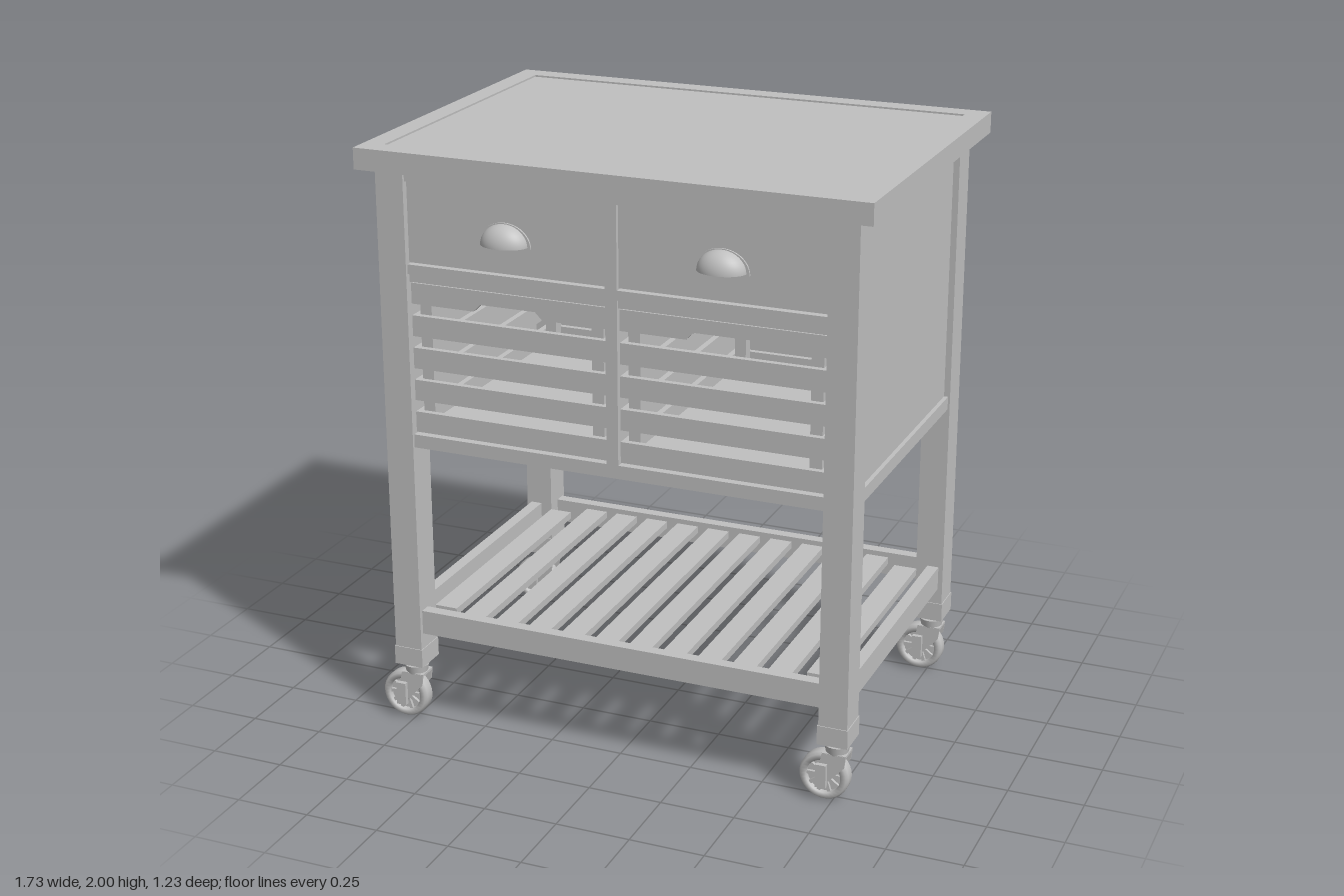
import * as THREE from 'three';

const grey = new THREE.MeshStandardMaterial({ color: 0xc0c0c0, side: THREE.DoubleSide });
grey.name = 'plain grey';

function add(parent, name, geometry, x = 0, y = 0, z = 0) {
  const mesh = new THREE.Mesh(geometry, grey);
  mesh.name = name;
  mesh.position.set(x, y, z);
  parent.add(mesh);
  return mesh;
}

// Box given by its limits on each axis
function slab(parent, name, x0, x1, y0, y1, z0, z1) {
  return add(parent, name, new THREE.BoxGeometry(x1 - x0, y1 - y0, z1 - z0),
    (x0 + x1) / 2, (y0 + y1) / 2, (z0 + z1) / 2);
}

function polygon(points) {
  return new THREE.Shape(points.map(([x, y]) => new THREE.Vector2(x, y)));
}

function extrude(shape, depth) {
  return new THREE.ExtrudeGeometry(shape, { depth, bevelEnabled: false, curveSegments: 12 });
}

// Worktop: a frame around a slightly sunk panel
function worktop(root) {
  const frame = polygon([[-0.84, -0.615], [0.86, -0.615], [0.86, 0.615], [-0.84, 0.615]]);
  frame.holes.push(polygon([[-0.77, -0.54], [-0.77, 0.545], [0.79, 0.545], [0.79, -0.54]]));
  add(root, 'worktopFrame', extrude(frame, 0.07), 0, 1.93, 0).rotation.x = -Math.PI / 2;
  slab(root, 'worktopPanel', -0.77, 0.79, 1.93, 1.994, -0.545, 0.54);
}

// Swivel caster: the wheel trails towards -x
function caster(root, x, z) {
  const g = new THREE.Group();
  g.name = 'caster';
  g.position.set(x, 0, z);
  root.add(g);
  add(g, 'stem', new THREE.CylinderGeometry(0.02, 0.02, 0.04, 16), 0, 0.2, 0);
  add(g, 'swivelCup', new THREE.CylinderGeometry(0.042, 0.036, 0.03, 20), 0, 0.182, 0);
  const fork = polygon([[-0.04, 0.17], [0.04, 0.17], [0.035, 0.13], [-0.02, 0.07], [-0.05, 0.07], [-0.055, 0.09]]);
  for (const s of [-1, 1]) add(g, 'forkPlate', extrude(fork, 0.005), 0, 0, s * 0.033 - 0.0025);
  slab(g, 'forkBridge', -0.04, 0.04, 0.164, 0.172, -0.035, 0.035);

  const wheel = new THREE.Group();
  wheel.name = 'wheel';
  wheel.position.set(-0.037, 0.083, 0);
  wheel.rotation.x = Math.PI / 2;
  g.add(wheel);
  const tyre = [[0.058, -0.026], [0.076, -0.026], [0.083, -0.016], [0.083, 0.016],
    [0.076, 0.026], [0.058, 0.026], [0.058, -0.026]].map(([r, h]) => new THREE.Vector2(r, h));
  add(wheel, 'tyre', new THREE.LatheGeometry(tyre, 32));
  add(wheel, 'wheelWeb', new THREE.CylinderGeometry(0.06, 0.06, 0.014, 24));
  add(wheel, 'hub', new THREE.CylinderGeometry(0.022, 0.022, 0.056, 16));
  for (let i = 0; i < 5; i++) {
    add(wheel, 'spoke', new THREE.BoxGeometry(0.12, 0.034, 0.012)).rotation.y = i * Math.PI / 5;
  }
  add(wheel, 'axle', new THREE.CylinderGeometry(0.01, 0.01, 0.08, 10));
  slab(g, 'brakeLever', -0.055, -0.02, 0.055, 0.135, 0.036, 0.052);
}

// Drawer with a cup pull
function drawer(root, x0, x1) {
  slab(root, 'drawerFront', x0, x1, 1.625, 1.89, 0.51, 0.54);
  const cx = (x0 + x1) / 2;
  const dome = new THREE.SphereGeometry(1, 24, 10, 0, Math.PI, 0, Math.PI / 2);
  dome.scale(0.08, 0.068, 0.06);
  add(root, 'cupPull', dome, cx, 1.72, 0.542);
  const flange = new THREE.Shape();
  flange.moveTo(-0.09, 0);
  flange.absellipse(0, 0, 0.09, 0.076, Math.PI, 0, true);
  add(root, 'pullFlange', extrude(flange, 0.006), cx, 1.715, 0.54);
}

// Slatted crate below each drawer
function crate(root, x0, x1) {
  const g = new THREE.Group();
  g.name = 'crate';
  root.add(g);
  const front = 0.535, back = -0.46, t = 0.02, cx = (x0 + x1) / 2;
  for (let i = 0; i < 5; i++) {
    const y0 = 1.05 + i * 0.109, y1 = y0 + 0.07;
    if (i < 4) {
      slab(g, 'frontSlat', x0, x1, y0, y1, front - t, front);
    } else {
      const grip = polygon([[x0, y0], [cx - 0.12, y0], [cx - 0.095, y0 + 0.025], [cx + 0.095, y0 + 0.025],
        [cx + 0.12, y0], [x1, y0], [x1, y1], [x0, y1]]);
      add(g, 'gripSlat', extrude(grip, t), 0, 0, front - t);
    }
    slab(g, 'backSlat', x0, x1, y0, y1, back, back + t);
    slab(g, 'sideSlat', x0, x0 + t, y0, y1, back + t, front - t);
    slab(g, 'sideSlat', x1 - t, x1, y0, y1, back + t, front - t);
  }
  for (const z of [back + t, front - t - 0.04]) {
    slab(g, 'cornerPost', x0 + t, x0 + 0.06, 1.05, 1.54, z, z + 0.04);
    slab(g, 'cornerPost', x1 - 0.06, x1 - t, 1.05, 1.54, z, z + 0.04);
  }
  slab(g, 'crateFloor', x0 + t, x1 - t, 1.05, 1.065, back + t, front - t);
}

export function createModel() {
  const root = new THREE.Group();
  root.name = 'kitchenCart';
  worktop(root);

  // Legs, foot caps and casters
  for (const [x0, x1] of [[-0.797, -0.7], [0.708, 0.804]]) {
    for (const [z0, z1] of [[0.45, 0.56], [-0.57, -0.46]]) {
      slab(root, 'leg', x0, x1, 0.215, 1.93, z0, z1);
      slab(root, 'footCap', x0 - 0.003, x1 + 0.003, 0.21, 0.275, z0 - 0.003, z1 + 0.003);
      caster(root, (x0 + x1) / 2, (z0 + z1) / 2 + 0.003);
    }
  }

  // Cabinet shell
  slab(root, 'sidePanel', -0.775, -0.745, 1.045, 1.93, -0.46, 0.45);
  slab(root, 'sidePanel', 0.753, 0.783, 1.045, 1.93, -0.46, 0.45);
  slab(root, 'backPanel', -0.7, 0.708, 1.045, 1.93, -0.545, -0.52);
  slab(root, 'cabinetFloor', -0.7, 0.708, 1.0, 1.045, -0.56, 0.55);
  slab(root, 'sideRail', -0.79, -0.7, 1.0, 1.045, -0.46, 0.45);
  slab(root, 'sideRail', 0.708, 0.797, 1.0, 1.045, -0.46, 0.45);

  // Front frame and inner divisions
  slab(root, 'topRail', -0.7, 0.708, 1.89, 1.93, 0.5, 0.55);
  slab(root, 'drawerRail', -0.7, 0.708, 1.588, 1.62, 0.5, 0.55);
  slab(root, 'drawerShelf', -0.7, 0.708, 1.56, 1.588, -0.52, 0.54);
  slab(root, 'centrePost', -0.016, 0.024, 1.045, 1.89, 0.5, 0.55);
  slab(root, 'centreDivider', -0.01, 0.018, 1.045, 1.56, -0.52, 0.5);

  for (const [x0, x1] of [[-0.698, -0.018], [0.026, 0.706]]) {
    drawer(root, x0, x1);
    crate(root, x0, x1);
  }

  // Lower shelf: four rails and slats running front to back
  slab(root, 'shelfFrontRail', -0.7, 0.708, 0.33, 0.413, 0.505, 0.545);
  slab(root, 'shelfBackRail', -0.7, 0.708, 0.33, 0.413, -0.555, -0.515);
  slab(root, 'shelfSideRail', -0.78, -0.74, 0.33, 0.413, -0.46, 0.45);
  slab(root, 'shelfSideRail', 0.748, 0.788, 0.33, 0.413, -0.46, 0.45);
  const count = 12, pitch = 1.45 / count;
  for (let i = 0; i < count; i++) {
    const x = 0.004 + (i - (count - 1) / 2) * pitch;
    const end = i === 0 || i === count - 1 ? 0.45 : 0.505;
    slab(root, 'shelfSlat', x - 0.04, x + 0.04, 0.37, 0.395, -end - 0.01, end);
  }
  return root;
}
